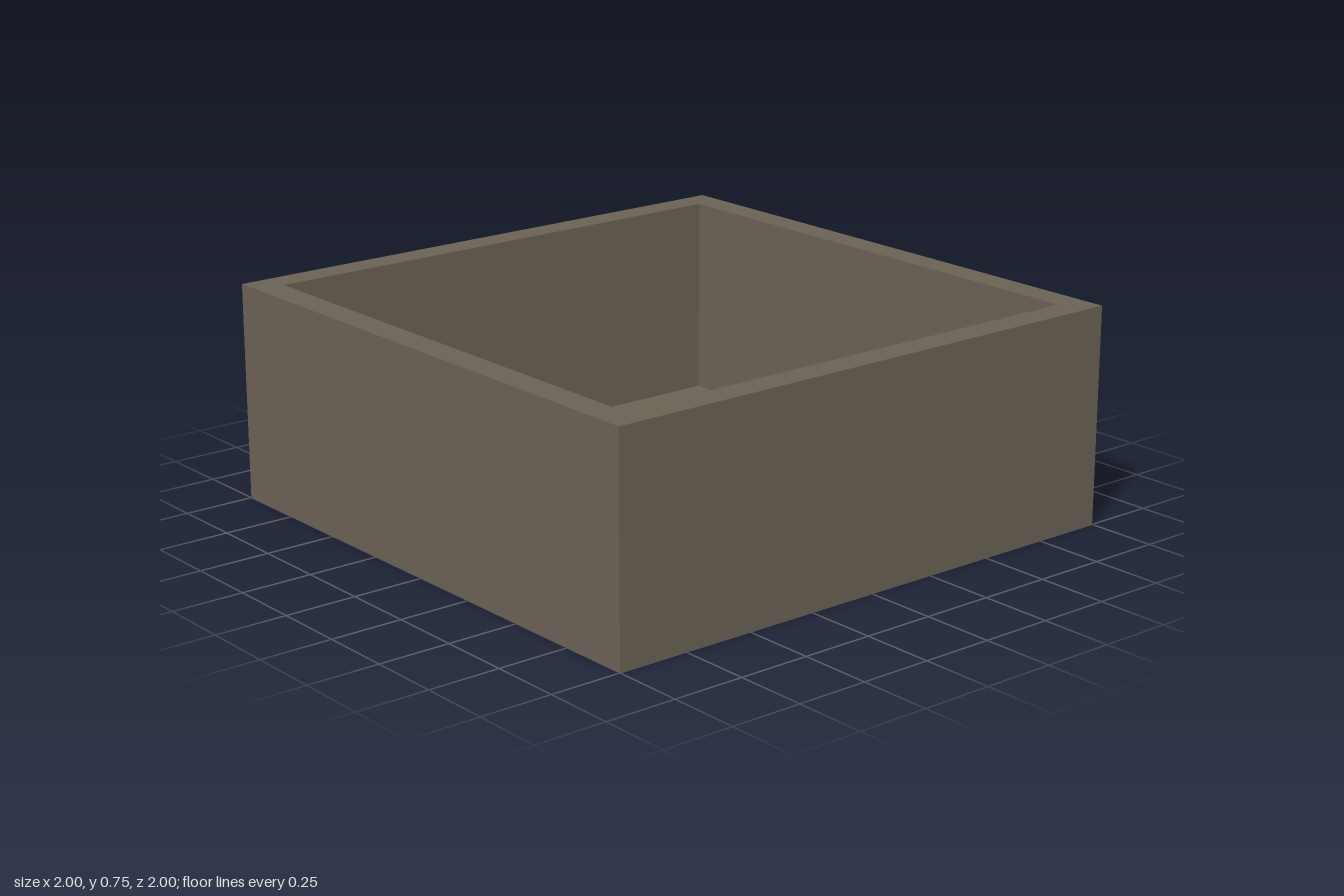
import * as THREE from 'three';

const square = (Type, h) => new Type([[-h, -h], [h, -h], [h, h], [-h, h]].map(([x, y]) => new THREE.Vector2(x, y)));

export function createModel() {
  const group = new THREE.Group();
  const stone = new THREE.MeshStandardMaterial({ color: 0x6b6155 });
  stone.name = 'brown stone';
  stone.flatShading = true;

  const add = (name, geometry, x = 0, y = 0, z = 0) => {
    const mesh = new THREE.Mesh(geometry, stone);
    mesh.name = name;
    mesh.position.set(x, y, z);
    group.add(mesh);
  };

  // Square ring of walls, open at the top
  const outline = square(THREE.Shape, 1);
  outline.holes.push(square(THREE.Path, 0.9));
  const walls = new THREE.ExtrudeGeometry(outline, { depth: 0.75, bevelEnabled: false });
  walls.rotateX(-Math.PI / 2);
  add('walls', walls);

  // Thin floor filling the ring
  add('floor', new THREE.BoxGeometry(1.8, 0.05, 1.8), 0, 0.025, 0);

  // Loose, slightly flattened rocks: x, z, radius, yaw
  const rocks = [
    [-0.4, -0.25, 0.105, 1.7],
    [0.45, 0.35, 0.086, 1.57],
    [0.15, -0.55, 0.067, 1.4],
  ];
  for (const [x, z, r, yaw] of rocks) {
    const rock = new THREE.IcosahedronGeometry(r, 0);
    rock.rotateX(-1.017).rotateY(yaw).scale(1, 0.75, 1);
    add('rock', rock, x, 0.05 + r * 0.7, z);
  }
  return group;
}
